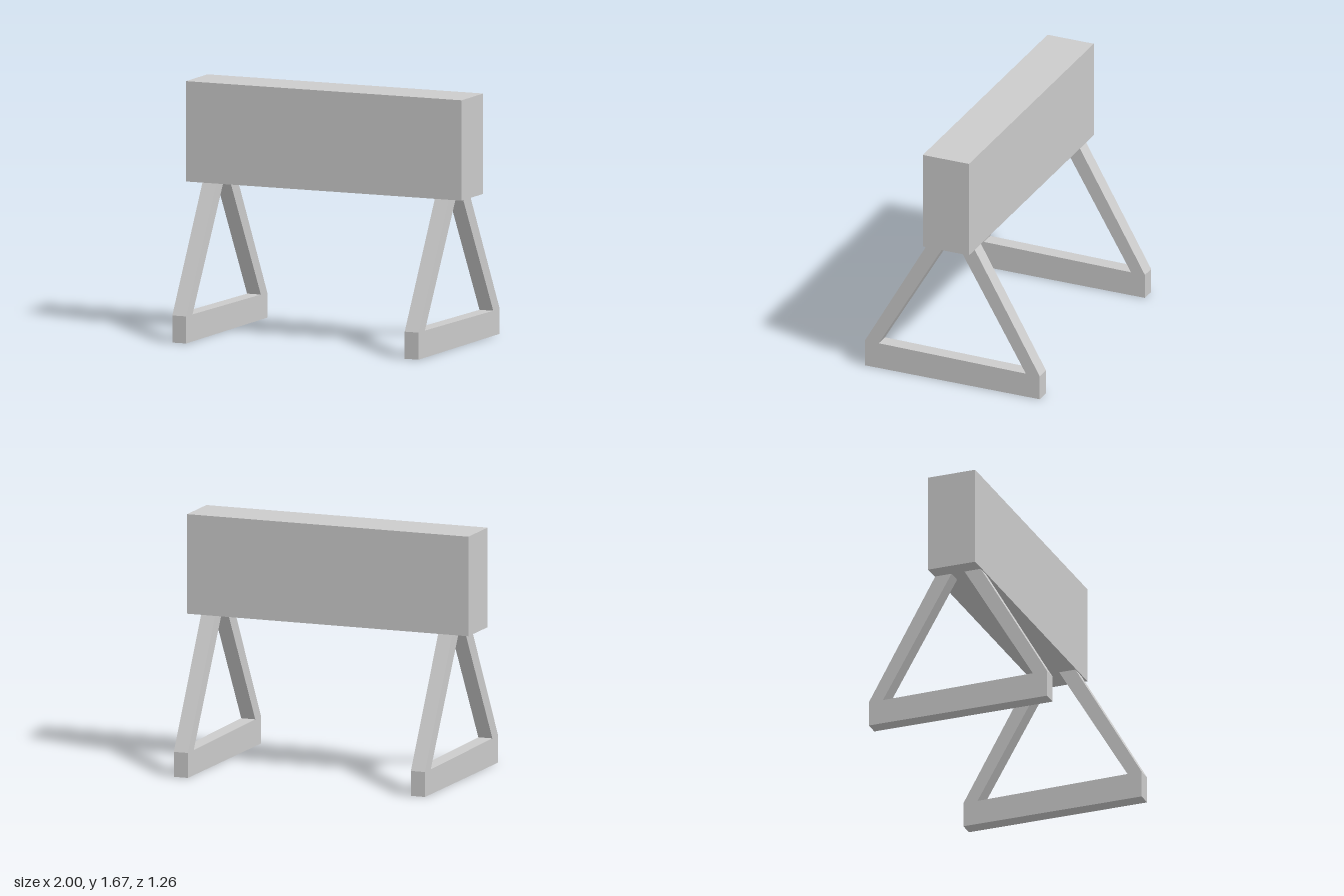
import * as THREE from 'three';

export function createModel() {
  const group = new THREE.Group();
  const material = new THREE.MeshStandardMaterial({ color: 0xcccccc, flatShading: true });

  // Solid beam resting on the two trestles
  const beam = new THREE.Mesh(new THREE.BoxGeometry(2, 0.667, 0.333), material);
  beam.name = 'beam';
  beam.position.set(0, 1.3335, 0.002);
  group.add(beam);

  // Side profile of a trestle as (z, y): foot bar with two leaning legs
  const profile = [
    [0.63, 0], [0.63, 0.18], [0.162, 1], [0.047, 1], [0.53, 0.18],
    [-0.53, 0.167], [-0.045, 1], [-0.16, 1], [-0.63, 0.167], [-0.63, 0],
  ];
  const shape = new THREE.Shape(profile.map(([z, y]) => new THREE.Vector2(z, y)));
  const width = 0.1;
  const trestleGeometry = new THREE.ExtrudeGeometry(shape, { depth: width, bevelEnabled: false });
  trestleGeometry.translate(0, 0, -width / 2);
  trestleGeometry.rotateY(-Math.PI / 2);

  for (const [name, x] of [['leftTrestle', 0.852], ['rightTrestle', -0.834]]) {
    const trestle = new THREE.Mesh(trestleGeometry, material);
    trestle.name = name;
    trestle.position.x = x;
    group.add(trestle);
  }

  return group;
}
